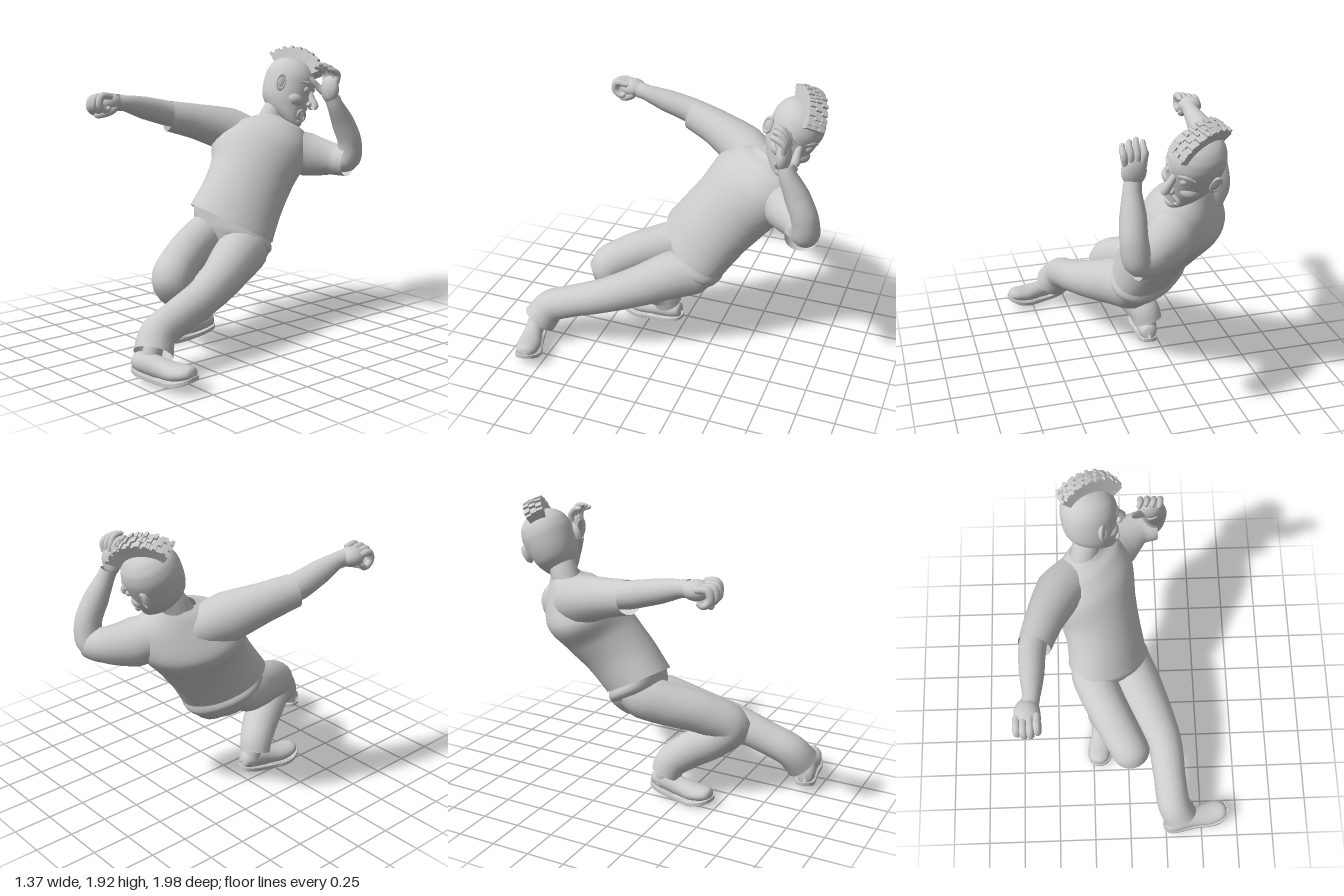
import * as THREE from 'three';

const V = (a) => new THREE.Vector3(...a);
const mat = new THREE.MeshStandardMaterial({ color: 0xcccccc, side: THREE.DoubleSide });
const flatMat = new THREE.MeshStandardMaterial({ color: 0xcccccc, side: THREE.DoubleSide, flatShading: true });

function add(parent, name, geo, pos = [0, 0, 0], scale = [1, 1, 1], material = mat) {
  const m = new THREE.Mesh(geo, material);
  m.name = name;
  m.position.set(...pos);
  m.scale.set(...scale);
  parent.add(m);
  return m;
}

// Tapered tube: points are [x, y, z, radius]; round closes both ends softly
function limb(pts, { round = false, sides = 20, steps = 36 } = {}) {
  const curve = new THREE.CatmullRomCurve3(pts.map((p) => V(p)));
  const geo = new THREE.TubeGeometry(curve, steps, 1, sides);
  const pos = geo.attributes.position, nor = geo.attributes.normal;
  const len = curve.getLength();
  for (let i = 0; i < pos.count; i++) {
    const u = Math.floor(i / (sides + 1)) / steps;
    const t = curve.getUtoTmapping(u) * (pts.length - 1);
    const k = Math.min(Math.floor(t), pts.length - 2);
    let r = THREE.MathUtils.lerp(pts[k][3], pts[k + 1][3], t - k);
    if (round) {
      const e = Math.min(1, (Math.min(u, 1 - u) * len) / r);
      r *= Math.sqrt(1 - (1 - e) ** 2);
    }
    const c = curve.getPointAt(u);
    pos.setXYZ(i, c.x + nor.getX(i) * r, c.y + nor.getY(i) * r, c.z + nor.getZ(i) * r);
  }
  return geo;
}

// Smooth skin over elliptical sections [centre, half-width vector, half-depth vector]
function loft(sections, steps = 30, sides = 36) {
  const [C, L, D] = [0, 1, 2].map((k) => new THREE.CatmullRomCurve3(sections.map((s) => V(s[k]))));
  const pos = [], idx = [];
  for (let i = 0; i <= steps; i++) {
    const c = C.getPoint(i / steps), l = L.getPoint(i / steps), d = D.getPoint(i / steps);
    for (let j = 0; j < sides; j++) {
      const a = (j / sides) * Math.PI * 2;
      const p = c.clone().addScaledVector(l, Math.cos(a)).addScaledVector(d, Math.sin(a));
      pos.push(p.x, p.y, p.z);
      if (i === steps) continue;
      const q = i * sides + j, r = i * sides + ((j + 1) % sides);
      idx.push(q, q + sides, r, r, q + sides, r + sides);
    }
  }
  const geo = new THREE.BufferGeometry();
  geo.setAttribute('position', new THREE.Float32BufferAttribute(pos, 3));
  geo.setIndex(idx);
  geo.computeVertexNormals();
  return geo;
}

const ball = (r) => new THREE.SphereGeometry(r, 24, 16);

// Lifts heel and toe so the sole rocks on its ball
function rocker(geo) {
  const p = geo.attributes.position;
  for (let i = 0; i < p.count; i++) {
    const d = p.getZ(i) - 0.28;
    p.setY(i, p.getY(i) + (d > 0 ? 1.3 : 0.5) * d * d);
  }
  geo.computeVertexNormals();
  return geo;
}

// Shoe pointing along +z, heel at the origin
function makeShoe(name, heel, toe) {
  const g = new THREE.Group();
  g.name = name;
  const outline = new THREE.Shape();
  outline.moveTo(0, 0);
  outline.bezierCurveTo(0.09, 0, 0.05, 0.13, 0.07, 0.26);
  outline.bezierCurveTo(0.11, 0.4, 0.06, 0.465, 0, 0.465);
  outline.bezierCurveTo(-0.06, 0.465, -0.11, 0.4, -0.07, 0.26);
  outline.bezierCurveTo(-0.05, 0.13, -0.09, 0, 0, 0);
  const sole = new THREE.ExtrudeGeometry(outline, { depth: 0.02, bevelSize: 0.004, bevelThickness: 0.004, bevelSegments: 2, curveSegments: 12 });
  sole.rotateX(Math.PI / 2);
  sole.translate(0, 0.026, 0);
  add(g, 'sole', rocker(sole));
  // z, half-width, height
  const prof = [[0.005, 0.01, 0.05], [0.02, 0.048, 0.1], [0.08, 0.064, 0.125], [0.16, 0.062, 0.135],
    [0.24, 0.067, 0.125], [0.33, 0.08, 0.11], [0.41, 0.07, 0.09], [0.445, 0.045, 0.065], [0.46, 0.004, 0.02]];
  add(g, 'upper', rocker(loft(prof.map(([z, w, h]) => [[0, 0.015 + h / 2, z], [w, 0, 0], [0, -h / 2, 0]]))));
  g.position.set(...heel);
  g.lookAt(...toe);
  return g;
}

function makeHead() {
  const head = new THREE.Group();
  head.name = 'head';
  // y, half-width, half-depth, z offset from chin to crown
  const prof = [[-0.272, 0.01, 0.01, 0.125], [-0.26, 0.05, 0.05, 0.115], [-0.205, 0.105, 0.122, 0.048], [-0.13, 0.143, 0.16, 0.008],
    [-0.05, 0.16, 0.175, -0.003], [0.04, 0.168, 0.18, -0.005], [0.11, 0.152, 0.162, -0.008], [0.16, 0.11, 0.12, -0.01],
    [0.185, 0.062, 0.068, -0.01], [0.193, 0.004, 0.004, -0.01]];
  add(head, 'skull', loft(prof.map(([y, w, d, z]) => [[0, y, z], [w, 0, 0], [0, 0, d]]), 40));
  // Hooked nose
  add(head, 'nose', limb([[0, 0.005, 0.15, 0.018], [0, -0.05, 0.19, 0.024], [0, -0.095, 0.224, 0.032], [0, -0.122, 0.232, 0.024]], { round: true }));
  for (const s of [-1, 1]) {
    add(head, 'nostril', ball(0.02), [s * 0.026, -0.1, 0.195]);
    add(head, 'eye', ball(0.026), [s * 0.062, -0.015, 0.145]);
    add(head, 'brow', limb([[s * 0.02, 0.012, 0.168, 0.012], [s * 0.07, 0.03, 0.152, 0.016], [s * 0.12, 0.015, 0.115, 0.01]], { round: true, sides: 10 }));
    add(head, 'cheek', ball(0.07), [s * 0.066, -0.105, 0.092], [1, 0.75, 0.95]);
    // Ear dish with raised rim
    const ear = new THREE.Group();
    ear.name = 'ear';
    add(ear, 'dish', ball(0.045), [0, 0, 0], [0.75, 1.2, 0.4]);
    add(ear, 'rim', new THREE.TorusGeometry(0.036, 0.01, 8, 24), [0, 0, 0.008], [0.8, 1.35, 1]);
    ear.position.set(s * 0.17, -0.035, -0.005);
    ear.rotation.set(0, s * 1.0, -s * 0.15);
    head.add(ear);
  }
  // Grinning mouth
  const lips = add(head, 'lips', new THREE.TorusGeometry(0.055, 0.011, 8, 28), [0, -0.185, 0.16], [1.25, 0.65, 1]);
  lips.rotation.x = 0.15;
  for (let i = -3; i <= 3; i++) {
    for (const y of [-0.17, -0.2]) {
      const tooth = add(head, 'tooth', new THREE.BoxGeometry(0.015, 0.026, 0.014), [i * 0.016, y, 0.164 - i * i * 0.0022]);
      tooth.rotation.y = i * 0.14;
    }
  }
  add(head, 'chin', ball(0.045), [0, -0.24, 0.137], [1.1, 0.75, 0.9]);
  // Mohawk: fan of close slats with jagged tips along the crown
  const hair = new THREE.Group();
  hair.name = 'mohawk';
  const rows = 24;
  for (let i = 0; i < rows; i++) {
    for (let j = -1; j <= 1; j++) {
      const a = THREE.MathUtils.degToRad(39 + (98 * i) / (rows - 1));
      const len = 0.115 + 0.009 * Math.sin(i * 2.3 + j * 1.7);
      const geo = new THREE.CylinderGeometry(0.018, 0.016, len, 4);
      geo.rotateY(Math.PI / 4);
      geo.translate(0, len / 2, 0);
      geo.scale(1.5, 1, 0.8);
      const slat = add(hair, 'slat', geo, [j * 0.032, Math.sin(a) * 0.155, Math.cos(a) * 0.15], [1, 1, 1], flatMat);
      slat.rotation.set(Math.PI / 2 - a, 0, -j * 0.08);
    }
  }
  head.add(hair);
  // Turned to the model's left and tipped over
  const F = V([0.88, -0.21, -0.42]).normalize();
  const X = V([0, 0.9, -0.45]).cross(F).normalize();
  head.quaternion.setFromRotationMatrix(new THREE.Matrix4().makeBasis(X, F.clone().cross(X), F));
  head.position.set(-0.203, 1.645, -0.715);
  return head;
}

export function createModel() {
  const g = new THREE.Group();
  g.name = 'figure';

  // Shirt body, twisting from the hem up to the collar
  add(g, 'shirt', loft([
    [[-0.12, 0.75, -0.115], [0.255, -0.04, -0.02], [-0.05, 0.13, 0.23]],
    [[-0.14, 0.895, -0.22], [0.248, -0.04, -0.05], [0, 0.125, 0.225]],
    [[-0.18, 1.05, -0.345], [0.25, -0.04, -0.11], [0.06, 0.125, 0.215]],
    [[-0.23, 1.215, -0.47], [0.262, -0.03, -0.2], [0.115, 0.125, 0.19]],
    [[-0.24, 1.345, -0.545], [0.195, -0.02, -0.18], [0.09, 0.085, 0.125]],
    [[-0.245, 1.41, -0.565], [0.11, -0.01, -0.105], [0.07, 0.035, 0.08]],
    [[-0.245, 1.44, -0.57], [0.075, 0, -0.075], [0.055, 0.02, 0.065]],
  ], 40));
  add(g, 'rightSleeve', limb([[-0.3, 1.27, -0.5, 0.13], [-0.41, 1.345, -0.33, 0.155], [-0.5, 1.41, -0.12, 0.122], [-0.56, 1.455, 0.07, 0.105]]));
  add(g, 'leftSleeve', limb([[-0.15, 1.24, -0.58, 0.14], [-0.03, 1.175, -0.74, 0.152], [0.1, 1.147, -0.86, 0.11], [0.21, 1.14, -0.89, 0.105]]));
  add(g, 'neck', limb([[-0.25, 1.36, -0.55, 0.095], [-0.23, 1.46, -0.6, 0.088], [-0.2, 1.55, -0.66, 0.095]]));
  g.add(makeHead());

  // Right arm reaching forward to a closed fist
  add(g, 'rightForearm', limb([[-0.54, 1.44, -0.06, 0.08], [-0.57, 1.48, 0.1, 0.086], [-0.57, 1.525, 0.28, 0.075], [-0.57, 1.56, 0.42, 0.053], [-0.58, 1.57, 0.48, 0.055]]));
  add(g, 'rightPalm', ball(0.075), [-0.595, 1.572, 0.53], [1.05, 0.82, 1.2]);
  for (let i = 0; i < 4; i++) {
    const x = -0.655 + i * 0.04, y = 0.008 * (i - 1.5), z = 0.65 - Math.abs(i - 1.5) * 0.015;
    add(g, 'rightFinger', limb([[x, y + 1.6, z - 0.09, 0.022], [x, y + 1.605, z, 0.025], [x, y + 1.55, z + 0.015, 0.024], [x, y + 1.515, z - 0.03, 0.021], [x, y + 1.535, z - 0.07, 0.018]],
      { round: true, sides: 10, steps: 20 }));
  }
  add(g, 'rightThumb', limb([[-0.55, 1.55, 0.5, 0.028], [-0.545, 1.515, 0.56, 0.025], [-0.58, 1.495, 0.61, 0.022], [-0.62, 1.49, 0.63, 0.018]], { round: true, sides: 10 }));

  // Left arm bent upward with an open hand
  add(g, 'leftForearm', limb([[0.1, 1.15, -0.86, 0.085], [0.185, 1.155, -0.905, 0.09], [0.212, 1.27, -0.9, 0.083], [0.203, 1.41, -0.84, 0.078], [0.19, 1.53, -0.775, 0.055], [0.18, 1.58, -0.755, 0.052]]));
  add(g, 'leftPalm', ball(0.075), [0.17, 1.64, -0.74], [1, 1.2, 0.6]);
  for (let i = 0; i < 4; i++) {
    const x = 0.112 + i * 0.04, top = 1.81 - Math.abs(i - 1.2) * 0.018;
    add(g, 'leftFinger', limb([[x * 0.8 + 0.035, 1.67, -0.745, 0.02], [x, 1.74, -0.75, 0.021], [x, top - 0.01, -0.715, 0.019], [x - 0.015, top, -0.665, 0.015]],
      { round: true, sides: 10, steps: 20 }));
  }
  add(g, 'leftThumb', limb([[0.14, 1.61, -0.73, 0.028], [0.105, 1.65, -0.7, 0.024], [0.085, 1.69, -0.67, 0.02], [0.065, 1.72, -0.65, 0.015]], { round: true, sides: 10 }));

  // Trousers
  add(g, 'trouserSeat', loft([
    [[-0.06, 0.49, -0.08], [0.03, 0, 0], [0, 0.01, 0.03]],
    [[-0.09, 0.55, -0.09], [0.18, -0.03, -0.02], [-0.03, 0.06, 0.13]],
    [[-0.11, 0.66, -0.115], [0.24, -0.04, -0.02], [-0.04, 0.1, 0.2]],
    [[-0.12, 0.79, -0.125], [0.24, -0.04, -0.02], [-0.045, 0.12, 0.205]],
  ]));
  add(g, 'leftTrouserLeg', limb([[-0.04, 0.65, -0.25, 0.06], [-0.025, 0.63, -0.2, 0.13], [0.005, 0.595, -0.12, 0.168], [0.07, 0.56, 0.01, 0.162], [0.165, 0.49, 0.2, 0.138], [0.25, 0.415, 0.42, 0.117],
    [0.277, 0.335, 0.64, 0.11], [0.3, 0.262, 0.81, 0.112], [0.345, 0.17, 0.875, 0.12]], { round: false, steps: 56 }));
  add(g, 'rightTrouserLeg', limb([[-0.24, 0.72, -0.17, 0.04], [-0.235, 0.71, -0.11, 0.12], [-0.23, 0.685, -0.01, 0.143], [-0.175, 0.645, 0.13, 0.142], [-0.07, 0.58, 0.34, 0.135], [0.015, 0.49, 0.49, 0.128],
    [-0.025, 0.39, 0.39, 0.125], [-0.1, 0.31, 0.25, 0.12], [-0.165, 0.23, 0.15, 0.108], [-0.185, 0.155, 0.125, 0.1]], { steps: 64 }));
  add(g, 'leftAnkle', limb([[0.335, 0.22, 0.86, 0.06], [0.335, 0.1, 0.9, 0.058]]));
  add(g, 'rightAnkle', limb([[-0.18, 0.22, 0.12, 0.06], [-0.178, 0.08, 0.09, 0.058]]));

  // Shoes
  g.add(makeShoe('leftShoe', [0.235, 0.02, 0.935], [0.68, 0.04, 0.825]));
  g.add(makeShoe('rightShoe', [-0.165, 0.01, 0.01], [-0.215, 0, 0.47]));
  return g;
}
